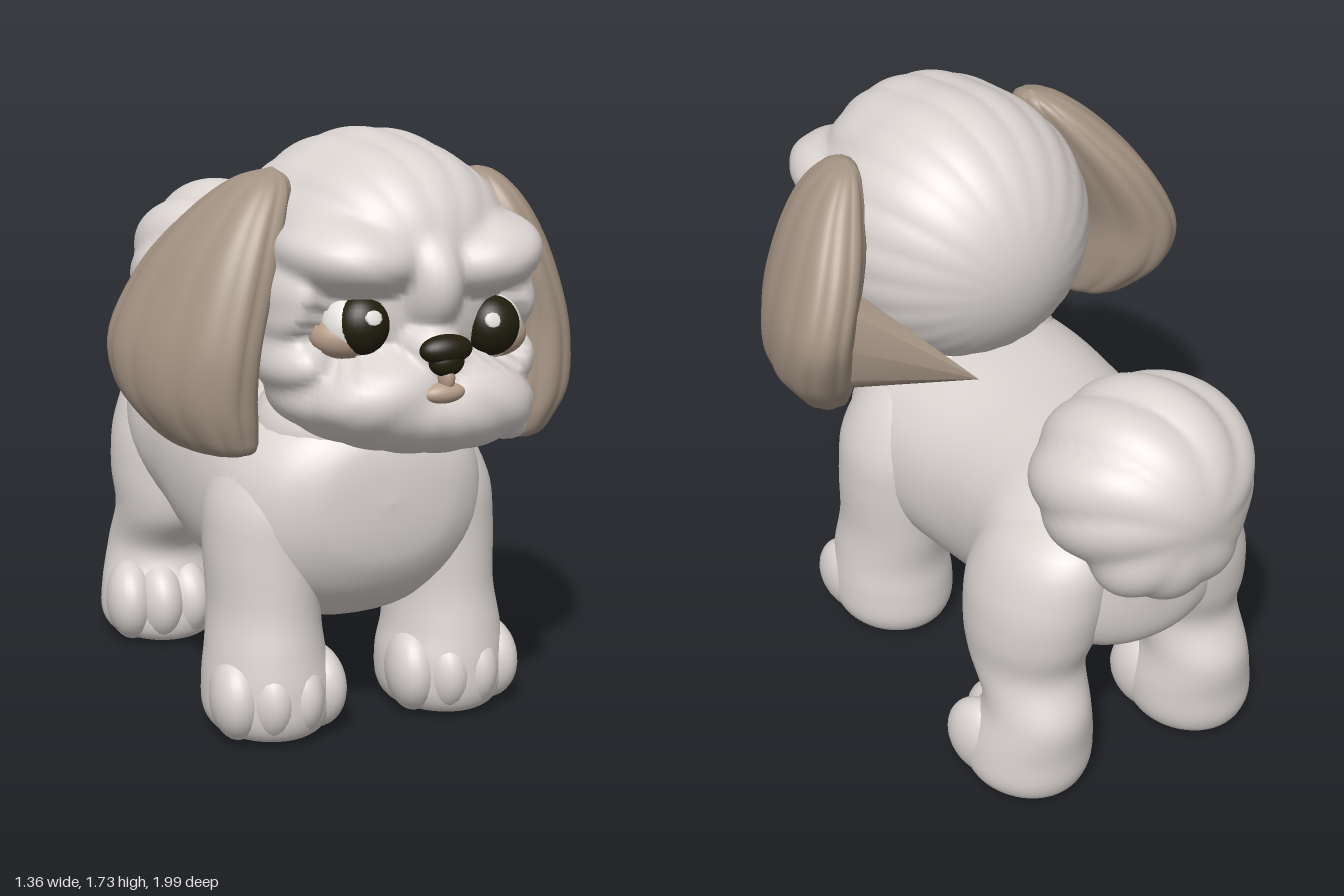
import * as THREE from 'three';
import { mergeVertices } from 'three/addons/utils/BufferGeometryUtils.js';

const paint = (name, color) => {
  const m = new THREE.MeshStandardMaterial({ color });
  m.name = name;
  return m;
};
const V = (x, y, z) => new THREE.Vector3(x, y, z);

// Groove factor that cuts soft tufts of fur around an axis
const groove = (a, lobes, depth) => 1 - depth * (1 - Math.abs(Math.sin(lobes * a / 2)));

// Unit sphere without seams, each vertex moved by a rule
function sphereGeometry(seg, move) {
  let g = new THREE.SphereGeometry(1, seg, Math.round(seg * 0.6));
  g.deleteAttribute('uv');
  g.deleteAttribute('normal');
  g = mergeVertices(g);
  const p = g.attributes.position, v = V(0, 0, 0);
  for (let i = 0; i < p.count; i++) {
    move(v.fromBufferAttribute(p, i));
    p.setXYZ(i, v.x, v.y, v.z);
  }
  g.computeVertexNormals();
  return g;
}

// Ellipsoids [centre, radii, roll] melted into one skin seen from a common centre, with tufts around z
function meltedGeometry(centre, parts, { soft, lobes, depth, twist, seg }) {
  const zAxis = V(0, 0, 1);
  return sphereGeometry(seg, d => {
    let sum = 0;
    for (const [at, r, roll = 0] of parts) {
      const o = centre.clone().sub(V(...at)).applyAxisAngle(zAxis, -roll).divide(V(...r));
      const e = d.clone().applyAxisAngle(zAxis, -roll).divide(V(...r));
      const a = e.dot(e), b = e.dot(o), disc = b * b - a * (o.dot(o) - 1);
      if (disc > 0) sum += Math.exp((Math.sqrt(disc) - b) / a / soft);
    }
    const fur = groove(Math.atan2(d.y, d.x) + twist * d.z, lobes, depth * (1 - d.z * d.z));
    d.multiplyScalar(soft * Math.log(sum) * fur).add(centre);
  });
}

// Smooth loft along y through sections [y, centreX, centreZ, radiusX, radiusZ, yaw]
function loftGeometry(sections, { lobes = 0, depth = 0, power = 2, seg = 48 } = {}) {
  const mid = new THREE.CatmullRomCurve3(sections.map(s => V(s[1], s[0], s[2])), false, 'catmullrom');
  const rad = new THREE.CatmullRomCurve3(sections.map(s => V(s[3], s[4], s[5] || 0)), false, 'catmullrom');
  const rows = (sections.length - 1) * 5, pos = [], idx = [];
  const pow = c => Math.sign(c) * Math.abs(c) ** (2 / power);
  for (let i = 0; i <= rows; i++) {
    const c = mid.getPoint(i / rows), r = rad.getPoint(i / rows);
    for (let j = 0; j < seg; j++) {
      const a = j / seg * Math.PI * 2, k = lobes ? groove(a, lobes, depth) : 1;
      const u = Math.max(r.x, 0.001) * pow(Math.cos(a)) * k;
      const v = Math.max(r.y, 0.001) * pow(Math.sin(a)) * k;
      pos.push(c.x + u * Math.cos(r.z) + v * Math.sin(r.z), c.y, c.z - u * Math.sin(r.z) + v * Math.cos(r.z));
      if (i < rows) {
        const n = (j + 1) % seg, p = i * seg + j, q = i * seg + n;
        idx.push(p, p + seg, q, q, p + seg, q + seg);
      }
    }
  }
  const g = new THREE.BufferGeometry();
  g.setAttribute('position', new THREE.Float32BufferAttribute(pos, 3));
  g.setIndex(idx);
  g.computeVertexNormals();
  return g;
}

export function createModel() {
  const model = new THREE.Group();
  model.name = 'puppy';
  const fur = paint('pale fur', 0xdad4d1);
  const tan = paint('tan ear fur', 0xa49383);
  const dark = paint('dark eye and nose', 0x211d0c);
  const skin = paint('face skin', 0xb59c88);
  const white = paint('eye white', 0xf0eeea);

  const add = (name, geo, mat, parent = model) => {
    const m = new THREE.Mesh(geo, mat);
    m.name = name;
    parent.add(m);
    return m;
  };
  const blob = (name, mat, at, r, rot = [0, 0, 0], parent = model, seg = 28) => {
    const m = add(name, sphereGeometry(seg, v => v.multiply(V(...r))), mat, parent);
    m.position.set(...at);
    m.rotation.set(...rot);
    return m;
  };

  // Body, lofted along z (third value is minus the height)
  const body = loftGeometry([
    [-0.715, 0.05, -0.70, 0, 0], [-0.69, 0.05, -0.70, 0.17, 0.17], [-0.6, 0.05, -0.71, 0.31, 0.25],
    [-0.4, 0.04, -0.72, 0.38, 0.285], [-0.2, 0.02, -0.69, 0.365, 0.315], [0, 0.01, -0.66, 0.37, 0.34],
    [0.25, 0.02, -0.655, 0.395, 0.35], [0.42, 0.03, -0.65, 0.395, 0.345], [0.55, 0.035, -0.67, 0.335, 0.28],
    [0.62, 0.04, -0.69, 0.24, 0.2], [0.645, 0.04, -0.70, 0.14, 0.12], [0.655, 0.04, -0.70, 0, 0]
  ], { power: 2.2 });
  body.rotateX(Math.PI / 2);
  add('body', body, fur);
  blob('neck', fur, [0.03, 0.88, 0.4], [0.29, 0.19, 0.23]);

  // Legs with four toes each
  function leg(name, x, z, side, sections) {
    const g = new THREE.Group();
    g.name = name;
    g.position.set(x, 0, z);
    model.add(g);
    add('limb', loftGeometry(sections.map(([y, cx, cz, rx, rz]) => [y, cx * side, cz, rx, rz])), fur, g);
    for (let i = 0; i < 4; i++) {
      const t = (i - 1.5) / 1.5;
      blob('toe', fur, [t * 0.118, 0.13, 0.1 - 0.045 * t * t], [0.078, 0.126, 0.122], [-0.1, t * 0.3, 0], g);
    }
  }
  const front = [
    [0, 0, 0, 0, 0], [0.008, 0, 0, 0.13, 0.15], [0.06, 0, 0, 0.18, 0.2], [0.16, 0, 0, 0.185, 0.205],
    [0.26, 0.005, -0.005, 0.168, 0.195], [0.38, 0, -0.025, 0.158, 0.195], [0.55, -0.01, -0.04, 0.172, 0.205],
    [0.7, -0.03, -0.05, 0.175, 0.21], [0.85, -0.07, -0.06, 0.13, 0.16], [0.95, -0.09, -0.06, 0, 0]
  ];
  const hind = [
    [0, 0, 0, 0, 0], [0.008, 0, 0, 0.13, 0.15], [0.06, 0, 0, 0.18, 0.195], [0.16, -0.005, -0.01, 0.18, 0.195],
    [0.29, -0.01, -0.04, 0.15, 0.175], [0.42, -0.02, 0.035, 0.16, 0.2], [0.55, -0.035, 0.03, 0.185, 0.23],
    [0.7, -0.06, 0.02, 0.19, 0.24], [0.85, -0.1, 0, 0.15, 0.19], [0.96, -0.14, 0, 0, 0]
  ];
  leg('frontLegRight', -0.237, 0.415, -1, front);
  leg('frontLegLeft', 0.318, 0.415, 1, front);
  leg('hindLegRight', -0.215, -0.475, -1, hind);
  leg('hindLegLeft', 0.355, -0.475, 1, hind);

  // Fluffy curled tail, hanging lower at the back
  add('tail', meltedGeometry(V(0.12, 1.09, -0.71), [
    [[0.12, 1.12, -0.7], [0.32, 0.27, 0.29]],
    [[0.12, 0.98, -0.8], [0.24, 0.185, 0.18]]
  ], { soft: 0.012, lobes: 9, depth: 0.07, twist: 0.45, seg: 90 }), fur);
  blob('tailRoot', fur, [0.08, 0.88, -0.6], [0.14, 0.14, 0.1]);

  // Head: skull, crown, brows, temples, cheeks and muzzle in one furry skin
  const head = new THREE.Group();
  head.name = 'head';
  model.add(head);
  const face = (name, mat, at, r, rot, seg) => blob(name, mat, at, r, rot, head, seg);
  const parts = [
    [[0.04, 1.31, 0.465], [0.41, 0.415, 0.41]],
    [[0.04, 1.455, 0.61], [0.32, 0.25, 0.285]],
    [[0.045, 1.37, 0.78], [0.1, 0.16, 0.18]],
    [[0.04, 1.19, 0.82], [0.095, 0.09, 0.145]],
    [[0.05, 1.025, 0.665], [0.385, 0.155, 0.325], -0.11],
    [[0.34, 0.92, 0.66], [0.1, 0.06, 0.12], -0.3]
  ];
  for (const s of [-1, 1]) parts.push(
    [[0.045 + s * 0.18, 1.425 - s * 0.012, 0.72], [0.2, 0.115, 0.225], s * 0.12],
    [[0.035 + s * 0.32, 1.32 - s * 0.012, 0.64], [0.075, 0.15, 0.18], s * 0.2],
    [[0.035 + s * 0.305, 1.13 - s * 0.02, 0.65], [0.1, 0.095, 0.18]],
    [[0.04 + s * 0.13, 1.07 - s * 0.015, 0.835], [0.19, 0.11, 0.15], -s * 0.25 - 0.08]);
  add('furryHead', meltedGeometry(V(0.04, 1.26, 0.5), parts,
    { soft: 0.011, lobes: 22, depth: 0.016, twist: 0.2, seg: 150 }), fur, head);

  // Eyes
  for (const [x, y, s] of [[-0.14, 1.265, -1], [0.25, 1.225, 1]]) {
    face('eyeSkin', skin, [x + s * 0.035, y - 0.035, 0.785], [0.095, 0.06, 0.07], [0, s * 0.4, 0]);
    face('eyeWhite', white, [x + s * 0.012, y - 0.008, 0.79], [0.088, 0.088, 0.08], [0, s * 0.2, 0]);
    face('iris', dark, [x, y, 0.818], [0.077, 0.082, 0.07]);
    face('glint', white, [x + (s < 0 ? 0.005 : -0.03), y + 0.03, 0.88], [0.026, 0.021, 0.005], [-0.35, 0, 0], 8);
  }
  // Nose and mouth
  face('nose', dark, [0.04, 1.21, 0.955], [0.076, 0.04, 0.042]);
  face('noseTip', dark, [0.04, 1.178, 0.958], [0.05, 0.04, 0.036]);
  face('lipGroove', skin, [0.04, 1.135, 0.958], [0.022, 0.04, 0.03]);
  face('mouth', skin, [0.03, 1.095, 0.963], [0.062, 0.028, 0.032]);

  // Drooping ears: lofts with strand grooves
  const strands = { lobes: 11, depth: 0.04, seg: 88, power: 2.2 };
  add('earRight', loftGeometry([
    [0.885, -0.45, 0.56, 0, 0, 0.4], [0.9, -0.455, 0.56, 0.07, 0.13, 0.4], [0.96, -0.485, 0.535, 0.105, 0.19, 0.4],
    [1.06, -0.515, 0.505, 0.125, 0.24, 0.4], [1.2, -0.51, 0.495, 0.125, 0.26, 0.4], [1.38, -0.44, 0.495, 0.12, 0.23, 0.35],
    [1.52, -0.36, 0.505, 0.1, 0.165, 0.3], [1.61, -0.295, 0.51, 0.065, 0.09, 0.3], [1.645, -0.26, 0.51, 0, 0, 0.3]
  ], strands), tan, head);
  add('earLeft', loftGeometry([
    [0.825, 0.48, 0.51, 0, 0, -0.2], [0.84, 0.485, 0.51, 0.07, 0.13, -0.2], [0.9, 0.505, 0.5, 0.1, 0.19, -0.2],
    [1.0, 0.535, 0.475, 0.125, 0.235, -0.2], [1.17, 0.545, 0.44, 0.12, 0.265, -0.2], [1.35, 0.49, 0.455, 0.115, 0.235, -0.2],
    [1.49, 0.435, 0.48, 0.09, 0.165, -0.2], [1.575, 0.395, 0.485, 0.05, 0.085, -0.2], [1.6, 0.375, 0.485, 0, 0, -0.2]
  ], strands), tan, head);

  // Stray pointed lock behind the left ear
  const tip = V(0.225, 1.06, 0), root = V(0.53, 1.13, 0.34);
  const along = tip.clone().sub(root), length = along.length();
  along.normalize();
  const flat = V(0, 1, 0).cross(along).normalize();
  const lock = new THREE.ConeGeometry(0.2, length, 8).scale(1, 1, 0.3);
  lock.applyMatrix4(new THREE.Matrix4().makeBasis(along.clone().cross(flat), along, flat));
  add('earLock', lock, tan, head).position.copy(root).lerp(tip, 0.5);

  return model;
}
